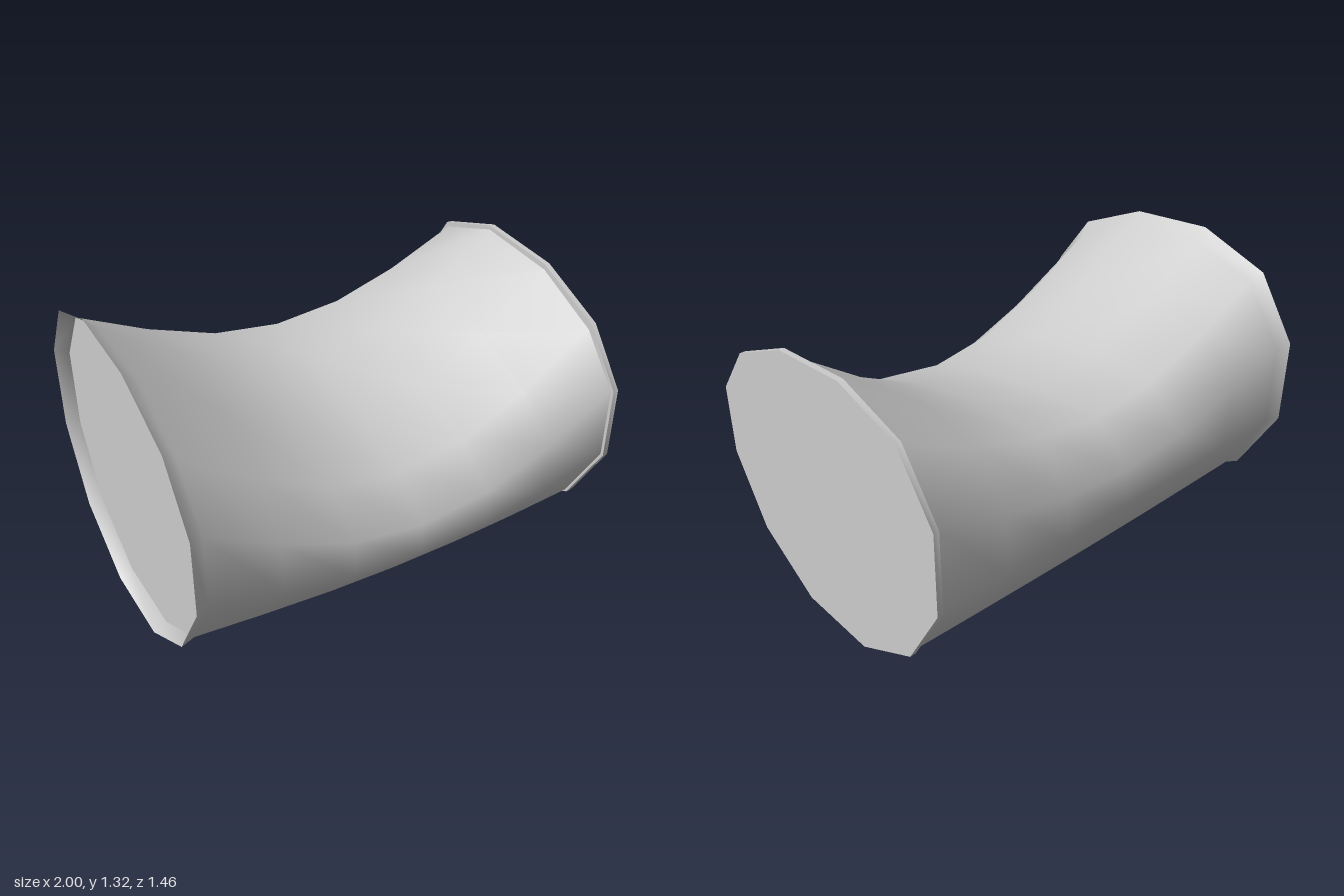
import * as THREE from 'three';

const CENTRE_Y = 0.66;

// Twelve-sided outlines as [z, y], running from the top over the back and round
const COLLAR = [
  [0.2, 1.25], [-0.2, 1.29], [-0.53, 1.19], [-0.72, 0.92], [-0.72, 0.54], [-0.53, 0.205],
  [-0.2, 0.015], [0.2, 0.015], [0.53, 0.21], [0.715, 0.53], [0.715, 0.86], [0.53, 1.1],
];
const LIP = [
  [0.2, 1.28], [-0.2, 1.32], [-0.54, 1.21], [-0.73, 0.93], [-0.73, 0.54], [-0.54, 0.2],
  [-0.2, 0], [0.2, 0], [0.53, 0.2], [0.73, 0.53], [0.73, 0.87], [0.54, 1.125],
];
const BODY_END = [
  [0.2, 1.225], [-0.2, 1.27], [-0.52, 1.17], [-0.705, 0.91], [-0.705, 0.54], [-0.52, 0.215],
  [-0.2, 0.03], [0.2, 0.03], [0.52, 0.215], [0.7, 0.53], [0.7, 0.85], [0.52, 1.07],
];
const WAIST = [
  [0.2, 0.785], [-0.2, 0.865], [-0.53, 0.88], [-0.705, 0.71], [-0.705, 0.53], [-0.53, 0.215],
  [-0.2, 0.02], [0.2, 0.02], [0.52, 0.16], [0.705, 0.37], [0.705, 0.52], [0.53, 0.67],
];

const blend = (a, b, t) => a.map(([z, y], i) => [z + (b[i][0] - z) * t, y + (b[i][1] - y) * t]);

function makeMesh(name, positions, index, side) {
  const geometry = new THREE.BufferGeometry();
  geometry.setAttribute('position', new THREE.Float32BufferAttribute(positions, 3));
  geometry.setIndex(index);
  geometry.computeVertexNormals();
  const mesh = new THREE.Mesh(geometry, new THREE.MeshStandardMaterial({ color: 0xcccccc, side }));
  mesh.name = name;
  return mesh;
}

// Skin through closed sections, each { x, outline }
function loft(name, sections) {
  const n = COLLAR.length;
  const positions = sections.flatMap(({ x, outline }) => outline.flatMap(([z, y]) => [x, y, z]));
  const index = [];
  for (let i = 0; i < sections.length - 1; i++) {
    for (let j = 0; j < n; j++) {
      const a = i * n + j, c = i * n + ((j + 1) % n);
      index.push(a, a + n, c, c, a + n, c + n);
    }
  }
  return makeMesh(name, positions, index, THREE.DoubleSide);
}

// Flat end disc facing +x (dir 1) or -x (dir -1)
function cap(name, x, outline, dir) {
  const positions = [x, CENTRE_Y, 0, ...outline.flatMap(([z, y]) => [x, y, z])];
  const index = [];
  for (let j = 0; j < outline.length; j++) {
    const a = j + 1, b = ((j + 1) % outline.length) + 1;
    index.push(0, ...(dir > 0 ? [b, a] : [a, b]));
  }
  return makeMesh(name, positions, index, THREE.FrontSide);
}

export function createModel() {
  const group = new THREE.Group();
  group.name = 'saddleTube';

  // Body: a flared lip, then full ends dipping to a low waist that leans forward
  const stations = [[-0.94, 1], [-0.63, 0.51], [-0.31, 0.13], [0.01, 0], [0.34, 0.13], [0.65, 0.48], [0.975, 1]];
  group.add(loft('body', [
    { x: -1, outline: LIP },
    ...stations.map(([x, t]) => ({ x, outline: blend(WAIST, BODY_END, t) })),
  ]));
  group.add(cap('recessedDisc', -0.94, BODY_END, -1));

  // Stepped collar closed by a flush disc
  group.add(loft('collarStep', [{ x: 0.975, outline: BODY_END }, { x: 0.975, outline: COLLAR }]));
  group.add(loft('collarRim', [{ x: 0.975, outline: COLLAR }, { x: 1, outline: COLLAR }]));
  group.add(cap('endDisc', 1, COLLAR, 1));

  return group;
}
